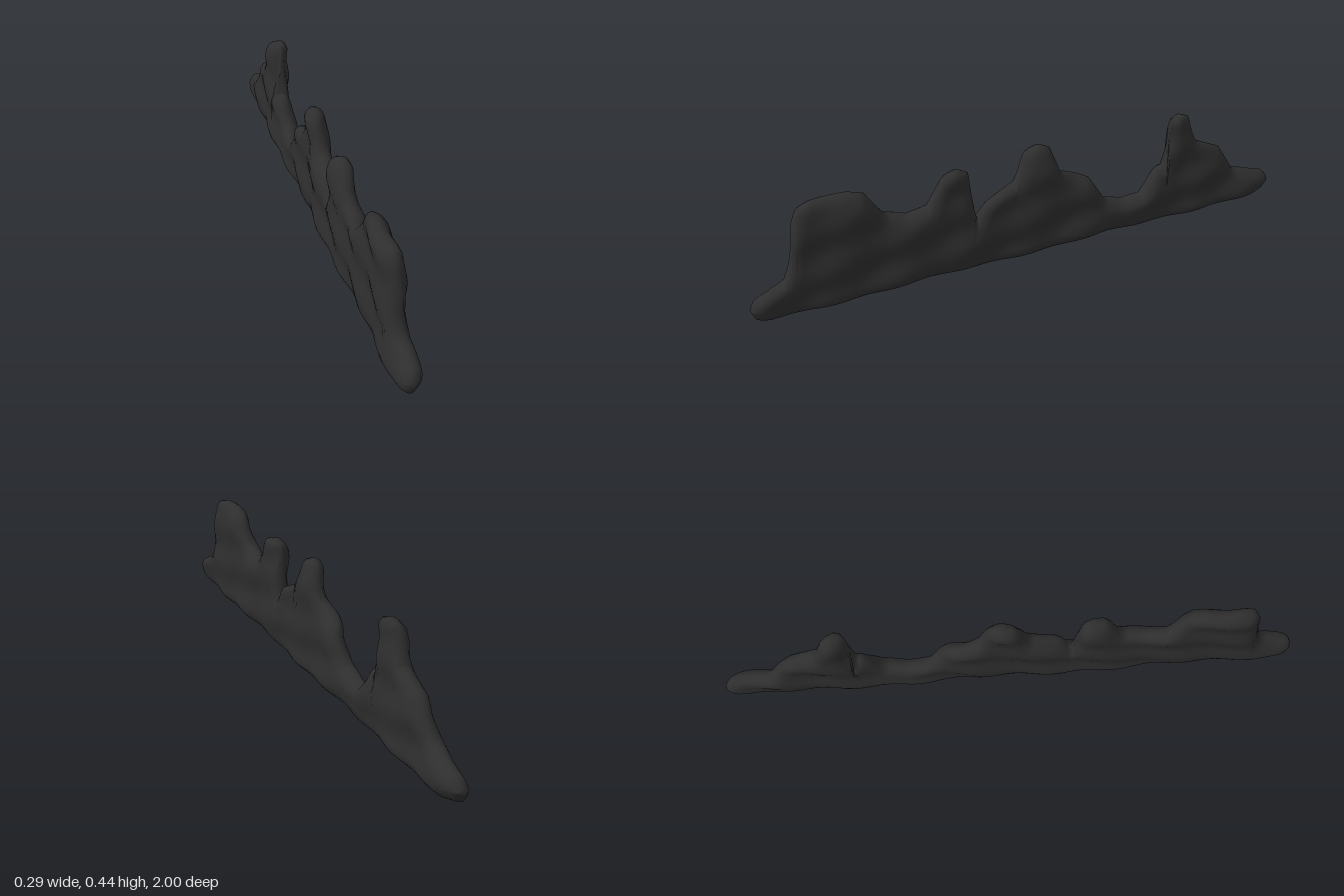
import * as THREE from 'three';
import { mergeVertices } from 'three/addons/utils/BufferGeometryUtils.js';

// Skyline of the ridge as [z, y], back to front
const TOP = [
  [-1, 0.06], [-0.985, 0.085], [-0.97, 0.1], [-0.83, 0.145], [-0.76, 0.255], [-0.65, 0.31], [-0.615, 0.415],
  [-0.575, 0.435], [-0.535, 0.42], [-0.525, 0.24], [-0.49, 0.235], [-0.43, 0.15], [-0.355, 0.14],
  [-0.28, 0.165], [-0.215, 0.27], [-0.1, 0.325], [-0.06, 0.43], [-0.02, 0.447], [0.03, 0.43],
  [0.07, 0.33], [0.18, 0.28], [0.215, 0.23], [0.225, 0.27], [0.24, 0.41], [0.28, 0.432],
  [0.33, 0.42], [0.385, 0.325], [0.46, 0.312], [0.535, 0.335], [0.595, 0.43], [0.65, 0.447],
  [0.77, 0.447], [0.815, 0.435], [0.835, 0.39], [0.855, 0.25], [0.88, 0.19], [0.985, 0.145], [1, 0.11],
];
// Underside as [z, y]
const BASE = [[-1, 0.06], [-0.975, 0.02], [-0.92, 0.003], [0.94, 0.057], [0.985, 0.07], [1, 0.11]];
const HALF = 0.036, ROUND = 0.045, ROWS = 22;

function heightAt(line, z) {
  for (let i = 1; i < line.length; i++) {
    const [z0, y0] = line[i - 1], [z1, y1] = line[i];
    if (z <= z1) return y0 + (y1 - y0) * (z - z0) / (z1 - z0);
  }
  return line[line.length - 1][1];
}

// Shortest distance from a point to a polyline
function distanceTo(line, z, y) {
  let best = Infinity;
  for (let i = 1; i < line.length; i++) {
    const [z0, y0] = line[i - 1], dz = line[i][0] - z0, dy = line[i][1] - y0;
    const t = THREE.MathUtils.clamp(((z - z0) * dz + (y - y0) * dy) / (dz * dz + dy * dy), 0, 1);
    best = Math.min(best, Math.hypot(z - z0 - t * dz, y - y0 - t * dy));
  }
  return best;
}

function ridgeGeometry() {
  // Columns: every skyline and underside point, with finer steps between
  const keys = [...new Set([...TOP, ...BASE].map((p) => p[0]))].sort((a, b) => a - b);
  const columns = [keys[0]];
  for (let i = 1; i < keys.length; i++) {
    const n = Math.max(2, Math.ceil((keys[i] - keys[i - 1]) / 0.02));
    for (let k = 1; k <= n; k++) columns.push(keys[i - 1] + (keys[i] - keys[i - 1]) * k / n);
  }
  const positions = [], index = [];
  for (const side of [1, -1]) {
    const start = positions.length / 3;
    columns.forEach((z, i) => {
      const low = heightAt(BASE, z), high = heightAt(TOP, z);
      for (let j = 0; j <= ROWS; j++) {
        const y = low + (high - low) * (0.5 - 0.5 * Math.cos(Math.PI * j / ROWS));
        // Thickness rounds off toward the outline
        const edge = j === 0 || j === ROWS ? 0 : Math.min(distanceTo(TOP, z, y), distanceTo(BASE, z, y));
        const r = 1 - Math.min(edge / ROUND, 1);
        const half = HALF * Math.sqrt(Math.max(0, 1 - r * r));
        // Slanted centre line with a gentle rocky wobble
        const wobble = 0.005 * Math.sin(27 * z + 9 * y) + 0.005 * Math.sin(42 * y + 8 * z);
        positions.push(0.113 * z + wobble + side * half, y, z);
        if (i === 0 || j === 0) continue;
        const d = start + i * (ROWS + 1) + j, c = d - 1, b = d - ROWS - 1, a = b - 1;
        if (side > 0) index.push(a, b, c, b, d, c);
        else index.push(a, c, b, b, c, d);
      }
    });
  }
  const geometry = new THREE.BufferGeometry();
  geometry.setAttribute('position', new THREE.Float32BufferAttribute(positions, 3));
  geometry.setIndex(index);
  const merged = mergeVertices(geometry, 1e-5);
  merged.computeVertexNormals();
  return merged;
}

export function createModel() {
  const group = new THREE.Group();
  group.name = 'rockRidge';
  const stone = new THREE.MeshStandardMaterial({ color: 0x2e2e2e });
  stone.name = 'dark stone';
  const ridge = new THREE.Mesh(ridgeGeometry(), stone);
  ridge.name = 'jaggedRidge';
  group.add(ridge);
  return group;
}
